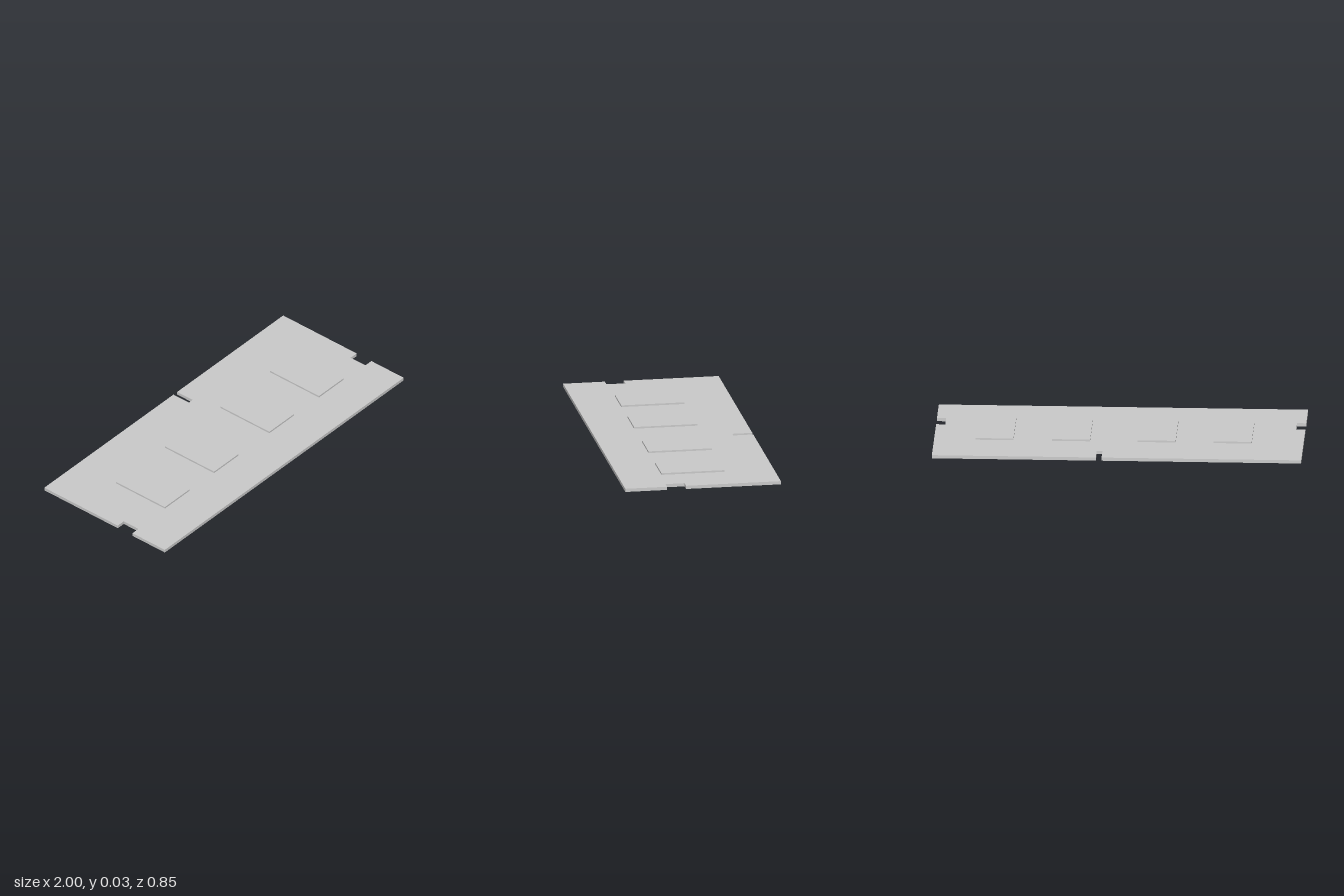
import * as THREE from 'three';

const BOARD_H = 0.018, HALF_D = 0.427;
const CHIP_W = 0.206, CHIP_H = 0.0095, CHIP_D = 0.347, CHIP_Z = 0.017;

export function createModel() {
  const group = new THREE.Group();
  const material = new THREE.MeshStandardMaterial({ color: 0xcccccc, flatShading: true });

  const add = (name, geometry) => {
    const mesh = new THREE.Mesh(geometry, material);
    mesh.name = name;
    group.add(mesh);
    return mesh;
  };

  // Board outline as [x, z], counter-clockwise from above,
  // with a notch in each short edge and a key slot in the back edge
  const outline = [
    [-1, HALF_D], [1, HALF_D],
    [1, 0.198], [0.95, 0.198], [0.95, 0.094], [1, 0.094],
    [1, -HALF_D],
    [0.112, -HALF_D], [0.112, -0.317], [0.081, -0.317], [0.081, -HALF_D],
    [-1, -HALF_D],
    [-1, 0.094], [-0.95, 0.094], [-0.95, 0.198], [-1, 0.198],
  ];
  const shape = new THREE.Shape(outline.map(([x, z]) => new THREE.Vector2(x, -z)));
  const board = new THREE.ExtrudeGeometry(shape, { depth: BOARD_H, bevelEnabled: false });
  board.rotateX(-Math.PI / 2);
  add('circuitBoard', board);

  // Row of flat chips, in two pairs either side of the key slot
  const chip = new THREE.BoxGeometry(CHIP_W, CHIP_H, CHIP_D);
  [-0.617, -0.205, 0.258, 0.673].forEach((x, i) => {
    add(`chip${i + 1}`, chip).position.set(x, BOARD_H + CHIP_H / 2, CHIP_Z);
  });

  return group;
}
